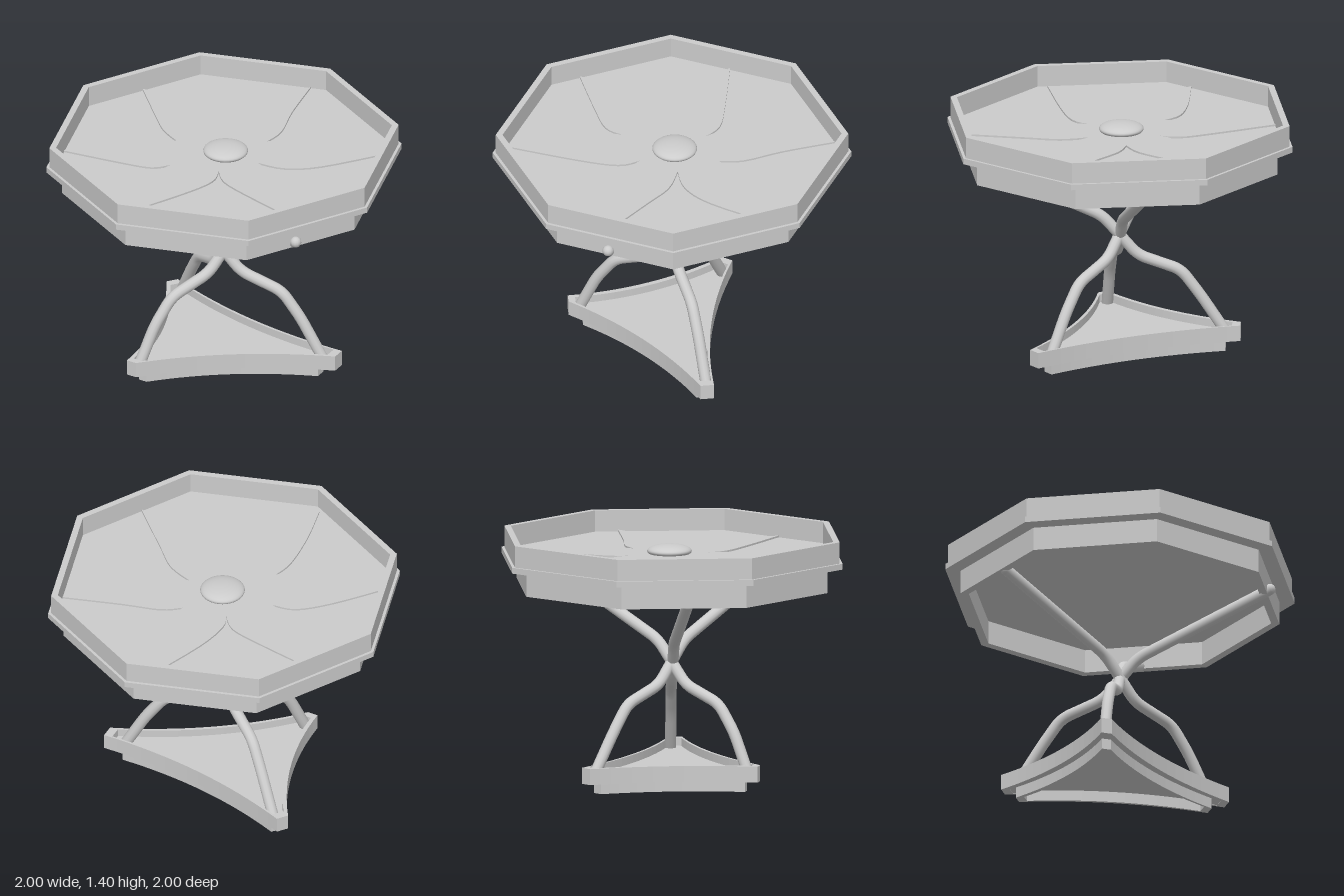
import * as THREE from 'three';

const material = new THREE.MeshStandardMaterial({ color: 0xcccccc });

function addMesh(group, name, geometry) {
  const mesh = new THREE.Mesh(geometry, material);
  mesh.name = name;
  group.add(mesh);
  return mesh;
}

// Upright slab from a counter-clockwise plan outline of [x, z] points, with an optional hole
function slab(outline, hole, y0, y1) {
  const toV2 = (pts) => pts.map(([x, z]) => new THREE.Vector2(x, -z));
  const shape = new THREE.Shape(toV2(outline));
  if (hole) shape.holes.push(new THREE.Path(toV2(hole).reverse()));
  const g = new THREE.ExtrudeGeometry(shape, { depth: y1 - y0, bevelEnabled: false });
  return g.rotateX(-Math.PI / 2).translate(0, y0, 0);
}

function octagon(r) {
  return Array.from({ length: 8 }, (_, i) => {
    const a = (-i * Math.PI) / 4;
    return [r * Math.cos(a), r * Math.sin(a)];
  });
}

// Three-cornered base outline with blunt corners and concave sides
function baseOutline(scale) {
  const c = [[-0.18, 0.575], [0.66, -0.155], [0.65, -0.23], [-0.58, -0.34], [-0.615, -0.28], [-0.24, 0.58]]
    .map(([x, z]) => new THREE.Vector2(x, z).multiplyScalar(scale));
  const pts = [];
  for (let i = 0; i < 6; i += 2) {
    const mid = c[i].clone().lerp(c[i + 1], 0.5);
    mid.setLength(mid.length() - 0.13 * scale);
    const side = new THREE.QuadraticBezierCurve(c[i], mid, c[i + 1]);
    pts.push(...side.getPoints(16).map((p) => [p.x, p.y]));
  }
  return pts;
}

// Straight runs joined by rounded bends
function bentPath(points, bend) {
  const path = new THREE.CurvePath();
  let from = points[0];
  for (let i = 1; i < points.length - 1; i++) {
    const p = points[i];
    const toward = (q) => p.clone().lerp(q, Math.min(0.45, bend / p.distanceTo(q)));
    const a = toward(points[i - 1]), b = toward(points[i + 1]);
    path.add(new THREE.LineCurve3(from, a));
    path.add(new THREE.QuadraticBezierCurve3(a, p, b));
    from = b;
  }
  path.add(new THREE.LineCurve3(from, points[points.length - 1]));
  return path;
}

// Flower outline: each side of each petal as a short curve
function flowerOutline() {
  const sides = [
    [[-0.08, -0.91], [0.01, -0.62], [0.1, -0.4], [0.105, -0.26]],
    [[0.105, -0.26], [0.2, -0.34], [0.4, -0.415], [0.72, -0.55]],
    [[0.72, -0.55], [0.52, -0.21], [0.37, -0.07], [0.21, -0.03]],
    [[0.21, -0.03], [0.37, 0.02], [0.52, 0.14], [0.8, 0.37]],
    [[0.8, 0.37], [0.42, 0.31], [0.2, 0.26], [0.1, 0.18]],
    [[0.1, 0.18], [0.14, 0.3], [0.09, 0.52], [-0.04, 0.9]],
    [[-0.04, 0.9], [-0.12, 0.66], [-0.17, 0.42], [-0.16, 0.28]],
    [[-0.16, 0.28], [-0.23, 0.37], [-0.42, 0.43], [-0.74, 0.51]],
    [[-0.74, 0.51], [-0.57, 0.24], [-0.43, 0.08], [-0.3, 0.04]],
    [[-0.3, 0.04], [-0.44, -0.02], [-0.58, -0.13], [-0.82, -0.33]],
    [[-0.82, -0.33], [-0.45, -0.3], [-0.24, -0.27], [-0.14, -0.19]],
    [[-0.14, -0.19], [-0.18, -0.28], [-0.17, -0.5], [-0.08, -0.91]],
  ];
  return sides.flatMap((side) => {
    const curve = new THREE.SplineCurve(side.map(([x, z]) => new THREE.Vector2(x, z)));
    return curve.getPoints(12).slice(0, -1).map((p) => [p.x, p.y]);
  }).reverse();
}

export function createModel() {
  const model = new THREE.Group();
  model.name = 'octagonalTable';

  // Tray top
  const top = new THREE.Group();
  top.name = 'top';
  model.add(top);
  addMesh(top, 'trayRim', slab(octagon(0.983), octagon(0.945), 1.28, 1.4));
  addMesh(top, 'trayFloor', slab(octagon(1), null, 1.247, 1.28));
  addMesh(top, 'apron', slab(octagon(0.912), octagon(0.865), 1.11, 1.247));
  addMesh(top, 'flowerInlay', slab(flowerOutline(), null, 1.28, 1.29));
  const dome = new THREE.SphereGeometry(0.125, 32, 16);
  addMesh(top, 'centreDome', dome.scale(1, 0.3, 1).translate(0, 1.305, -0.015));

  // Hollow two-step base
  const base = new THREE.Group();
  base.name = 'base';
  model.add(base);
  addMesh(base, 'baseRim', slab(baseOutline(1), baseOutline(0.93), 0.06, 0.15));
  addMesh(base, 'baseFloor', slab(baseOutline(0.96), null, 0.062, 0.105));
  const foot = slab(baseOutline(0.86), baseOutline(0.79), 0, 0.062);
  addMesh(base, 'baseFoot', foot.translate(-0.012, 0, 0));

  // Crossing legs: foot position, head direction, reach and height of the head
  const legs = [
    [[-0.2, 0.5], [0.27, -0.72], 0.8, 1.125],
    [[0.53, -0.18], [-0.73, 0.33], 0.8, 1.125],
    [[-0.51, -0.28], [0.77, 0.36], 0.855, 1.145],
  ];
  legs.forEach(([footXZ, headXZ, reach, height]) => {
    const f = new THREE.Vector2(...footXZ);
    const footReach = f.length();
    f.normalize();
    const h = new THREE.Vector2(...headXZ).normalize();
    const at = (d, r, y) => new THREE.Vector3(d.x * r, y, d.y * r);
    const end = at(h, reach, height);
    const path = bentPath([
      at(f, footReach + 0.015, 0.1), at(f, 0.45, 0.325), at(f, 0.34, 0.475),
      at(f, 0.1, 0.56), at(h, 0.1, 0.795), end,
    ], 0.055);
    const leg = new THREE.Group();
    leg.name = 'leg';
    model.add(leg);
    addMesh(leg, 'legTube', new THREE.TubeGeometry(path, 80, 0.032, 12, false));
    const cap = new THREE.SphereGeometry(0.032, 12, 8);
    addMesh(leg, 'legEnd', cap.translate(end.x, end.y, end.z));
  });

  return model;
}
